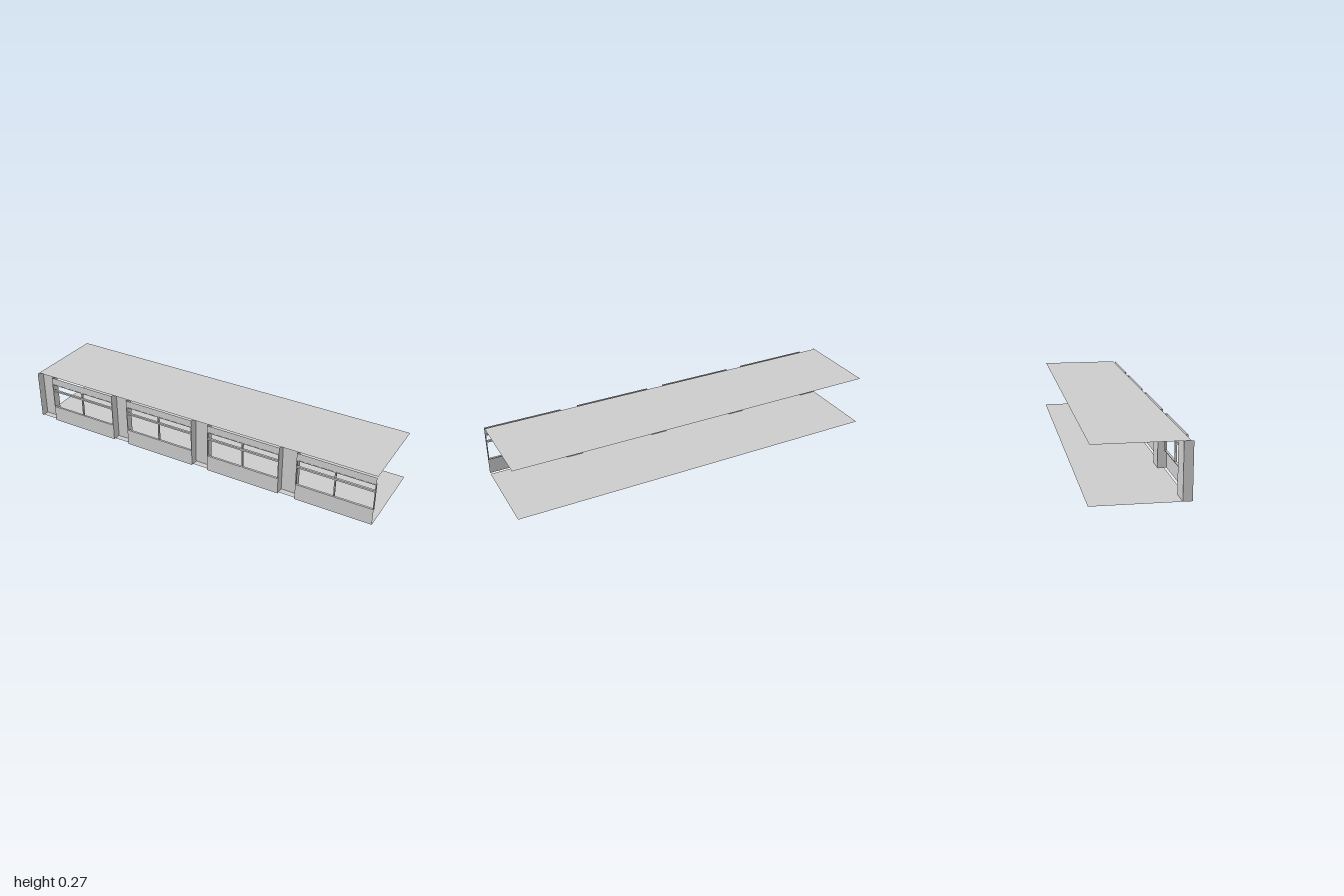
import * as THREE from 'three';

const H = 0.27;            // storey height
const FRONT = 0.227;       // plane of the bay walls
const RECESS = 0.183;      // plane of the recessed piers
const BAY = 0.405, PITCH = 0.4983, START = -0.9;
const SILL = 0.085, HEAD = 0.232;

const sheetMat = new THREE.MeshStandardMaterial({ color: 0xcccccc, side: THREE.DoubleSide, flatShading: true });
const solidMat = new THREE.MeshStandardMaterial({ color: 0xcccccc, flatShading: true });

function add(parent, name, geometry, material, x, y, z) {
  const mesh = new THREE.Mesh(geometry, material);
  mesh.name = name;
  mesh.position.set(x, y, z);
  parent.add(mesh);
  return mesh;
}

// Horizontal sheet facing up
function slab(parent, name, y, z0, z1) {
  const geometry = new THREE.PlaneGeometry(2, z1 - z0).rotateX(-Math.PI / 2);
  add(parent, name, geometry, sheetMat, 0, y, (z0 + z1) / 2);
}

// Side return joining the bay wall to the recessed pier
function pierReturn(parent, x, facing) {
  const geometry = new THREE.PlaneGeometry(FRONT - RECESS, H).rotateY(facing * Math.PI / 2);
  add(parent, 'pierReturn', geometry, sheetMat, x, H / 2, (FRONT + RECESS) / 2);
}

// Recessed pier between x0 and x1
function pier(x0, x1) {
  const group = new THREE.Group();
  group.name = 'recessedPier';
  add(group, 'pierPanel', new THREE.PlaneGeometry(x1 - x0, H), sheetMat, (x0 + x1) / 2, H / 2, RECESS);
  pierReturn(group, x0, 1);
  pierReturn(group, x1, -1);
  return group;
}

// Bay wall with a full-width window between parapet and header
function bay(x0) {
  const group = new THREE.Group();
  group.name = 'windowBay';
  const cx = x0 + BAY / 2;
  add(group, 'parapet', new THREE.PlaneGeometry(BAY, SILL), sheetMat, cx, SILL / 2, FRONT);
  add(group, 'header', new THREE.PlaneGeometry(BAY, H - HEAD), sheetMat, cx, (H + HEAD) / 2, FRONT);

  const depth = 0.011, z = 0.2225, t = 0.004, h = HEAD - SILL, cy = (HEAD + SILL) / 2;
  const bar = (name, w, hh, x, y) => add(group, name, new THREE.BoxGeometry(w, hh, depth), solidMat, x, y, z);
  bar('frameBottom', BAY, t, cx, SILL + t / 2);
  bar('frameTop', BAY, t, cx, HEAD - t / 2);
  for (const s of [-1, 1]) bar('frameSide', t, h, cx + s * (BAY - t) / 2, cy);
  bar('transom', BAY, 0.009, cx, 0.191);
  bar('mullion', 0.006, h, cx, cy);
  return group;
}

export function createModel() {
  const model = new THREE.Group();
  model.name = 'buildingStorey';

  slab(model, 'floor', 0, -0.228, 0.215);
  slab(model, 'ceiling', H, -0.22, 0.215);

  // Alternating piers and bays along the front
  let edge = -1;
  for (let i = 0; i < 4; i++) {
    const x0 = START + i * PITCH;
    model.add(pier(edge, x0), bay(x0));
    edge = x0 + BAY;
  }
  return model;
}
